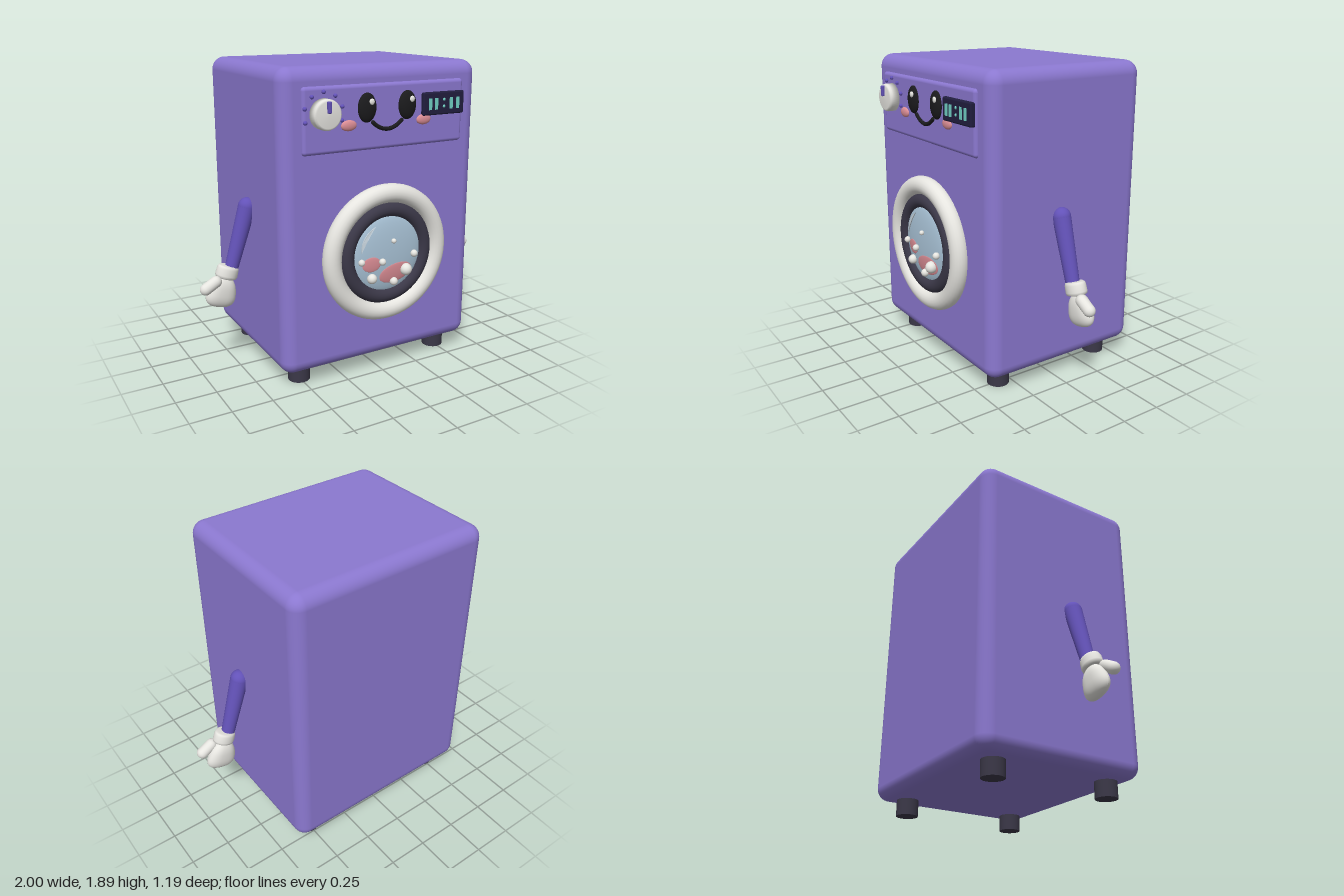
import * as THREE from 'three';
import { RoundedBoxGeometry } from 'three/addons/geometries/RoundedBoxGeometry.js';

const paint = (name, color) => {
  const m = new THREE.MeshStandardMaterial({ color });
  m.name = name;
  return m;
};

export function createModel() {
  const lilac = paint('lilac', 0x8b78d0);
  const indigo = paint('indigo', 0x6352b8);
  const white = paint('white', 0xe6e5e0);
  const charcoal = paint('charcoal', 0x3b3848);
  const black = paint('black', 0x1b1b1d);
  const navy = paint('navy', 0x211e3e);
  const teal = paint('teal', 0x72d2c6);
  const pink = paint('pink', 0xdc8e96);
  const glassBlue = paint('glassBlue', 0xaac4d8);
  const shineBlue = paint('shineBlue', 0xc6d3dc);

  const root = new THREE.Group();
  root.name = 'washingMachine';
  const group = (name, parent = root) => {
    const g = new THREE.Group();
    g.name = name;
    parent.add(g);
    return g;
  };
  const add = (parent, name, geo, mat, x = 0, y = 0, z = 0) => {
    const m = new THREE.Mesh(geo, mat);
    m.name = name;
    m.position.set(x, y, z);
    parent.add(m);
    return m;
  };
  const ellipsoid = (rx, ry, rz) => new THREE.SphereGeometry(1, 28, 18).scale(rx, ry, rz);

  // Cabinet and feet
  add(root, 'cabinet', new RoundedBoxGeometry(1.32, 1.79, 1.08, 6, 0.08), lilac, 0, 0.995, -0.055);
  for (const x of [-0.5, 0.5])
    for (const z of [0.33, -0.43])
      add(root, 'foot', new THREE.CylinderGeometry(0.067, 0.067, 0.13, 28), charcoal, x, 0.065, z);

  // Control panel
  const panel = group('controlPanel');
  const front = 0.505;
  add(panel, 'panelPlate', new RoundedBoxGeometry(1.075, 0.375, 0.06, 4, 0.022), lilac, 0, 1.597, front - 0.03);

  // Knob: rounded disc, pointer and a fan of marker dots
  const knobProfile = [[0, 0], [0.086, 0], [0.086, 0.045], [0.082, 0.056], [0.072, 0.063], [0, 0.065]];
  const knob = new THREE.LatheGeometry(knobProfile.map(p => new THREE.Vector2(...p)), 40).rotateX(Math.PI / 2);
  add(panel, 'knob', knob, white, -0.41, 1.635, front);
  add(panel, 'knobPointer', new RoundedBoxGeometry(0.022, 0.065, 0.025, 2, 0.006), indigo, -0.41, 1.678, 0.573);
  for (let i = 0; i < 7; i++) {
    const a = THREE.MathUtils.degToRad(200 - i * 220 / 6);
    add(panel, 'dialDot', ellipsoid(0.012, 0.012, 0.012), indigo,
      -0.41 + Math.cos(a) * 0.12, 1.635 + Math.sin(a) * 0.12, front + 0.004);
  }

  // Display with four bars and a colon
  add(panel, 'display', new RoundedBoxGeometry(0.295, 0.135, 0.04, 3, 0.01), navy, 0.383, 1.648, 0.507);
  for (const x of [0.283, 0.326, 0.433, 0.481])
    add(panel, 'displayBar', new THREE.BoxGeometry(0.02, 0.068, 0.008), teal, x, 1.647, 0.529);
  for (const y of [1.63, 1.67])
    add(panel, 'displayColon', ellipsoid(0.009, 0.009, 0.006), teal, 0.382, y, 0.528);

  // Face
  const face = group('face');
  for (const s of [-1, 1]) {
    add(face, 'eye', ellipsoid(0.06, 0.084, 0.028), black, s * 0.135, 1.652, front);
    add(face, 'eyeGlint', ellipsoid(0.017, 0.018, 0.009), white, s * 0.135 + 0.018, 1.686, 0.529);
    add(face, 'cheek', ellipsoid(0.05, 0.031, 0.016), pink, s * 0.252, 1.56, front);
  }
  const smile = new THREE.QuadraticBezierCurve3(
    new THREE.Vector3(-0.097, 1.567, 0.508), new THREE.Vector3(0, 1.48, 0.508), new THREE.Vector3(0.097, 1.567, 0.508));
  add(face, 'smile', new THREE.TubeGeometry(smile, 32, 0.012, 10), black);
  for (const s of [-1, 1])
    add(face, 'smileEnd', ellipsoid(0.012, 0.012, 0.012), black, s * 0.097, 1.567, 0.508);

  // Door: white rim, dark seal, shallow glass dome
  const door = group('door');
  door.position.set(0, 0.78, 0);
  add(door, 'doorRim', new THREE.TorusGeometry(0.364, 0.057, 20, 64), white, 0, 0, 0.508);
  add(door, 'doorSeal', new THREE.TorusGeometry(0.268, 0.045, 18, 64), charcoal, 0, 0, 0.51);
  const R = 0.245;
  const domeZ = (x, y) => 0.515 + 0.04 * Math.sqrt(Math.max(0, 1 - (x * x + y * y) / (R * R)));
  add(door, 'glass', ellipsoid(R, R, 0.04), glassBlue, 0, 0, 0.515);

  // Lays a flat geometry over the curve of the glass
  const onGlass = geo => {
    const p = geo.attributes.position;
    for (let i = 0; i < p.count; i++) p.setZ(i, p.getZ(i) + domeZ(p.getX(i), p.getY(i)));
    geo.computeVertexNormals();
    return geo;
  };
  add(door, 'laundrySmall', onGlass(ellipsoid(0.06, 0.046, 0.005).translate(-0.12, -0.047, 0)), pink);
  add(door, 'laundryLarge', onGlass(ellipsoid(0.116, 0.06, 0.005).rotateZ(0.14).translate(0.05, -0.123, 0)), pink);
  const crescent = new THREE.Shape();
  crescent.moveTo(-0.187, 0.03);
  crescent.quadraticCurveTo(-0.19, 0.13, -0.092, 0.178);
  crescent.quadraticCurveTo(-0.15, 0.11, -0.187, 0.03);
  add(door, 'glassShine',
    onGlass(new THREE.ExtrudeGeometry(crescent, { depth: 0.006, bevelEnabled: false, curveSegments: 14 })), shineBlue);
  const bubbles = [[-0.19, -0.022, 0.02], [-0.055, -0.035, 0.021], [-0.12, -0.133, 0.03], [0.033, -0.175, 0.025],
    [0.117, -0.112, 0.037], [0.176, -0.022, 0.022], [0.022, 0.083, 0.015]];
  for (const [x, y, r] of bubbles)
    add(door, 'bubble', ellipsoid(r, r, r), white, x, y, domeZ(x, y) + 0.012);

  // Palm: squared ellipsoid that widens towards the fingertips
  const palm = new THREE.SphereGeometry(1, 32, 22);
  const pp = palm.attributes.position;
  const square = v => Math.sign(v) * Math.abs(v) ** 0.8;
  for (let i = 0; i < pp.count; i++) {
    const y = square(pp.getY(i));
    pp.setXYZ(i, square(pp.getX(i)) * (0.09 - 0.022 * y), y * 0.1, pp.getZ(i) * 0.05);
  }
  palm.computeVertexNormals();

  // Cuff: short roll with soft edges
  const cuffProfile = [[0, -0.04], [0.055, -0.04], [0.066, -0.034], [0.07, -0.02], [0.068, 0.02],
    [0.063, 0.034], [0.052, 0.04], [0, 0.04]];
  const cuff = new THREE.LatheGeometry(cuffProfile.map(p => new THREE.Vector2(...p)), 28);

  // Arms, mirrored by a half turn of the x positions and tilts
  const tilt = 0.3;
  for (const s of [1, -1]) {
    const arm = group(s > 0 ? 'leftArm' : 'rightArm');
    const sleeve = new THREE.CylinderGeometry(0.055, 0.041, 0.4, 24);
    add(arm, 'sleeve', sleeve, indigo, s * 0.73, 0.845, 0.005).rotation.z = s * tilt;
    add(arm, 'shoulder', ellipsoid(0.055, 0.055, 0.055), indigo, s * 0.671, 1.036, 0.005);
    const c = add(arm, 'cuff', cuff, white, s * 0.815, 0.643, 0.005);
    c.rotation.z = s * 0.32;
    c.scale.z = 0.84;
    add(arm, 'palm', palm, white, s * 0.85, 0.518, -0.005).rotation.z = s * 0.28;
    const thumb = add(arm, 'thumb', new THREE.CapsuleGeometry(0.036, 0.075, 8, 18), white, s * 0.93, 0.582, 0.03);
    thumb.rotation.z = s * 1.05;
  }
  return root;
}
